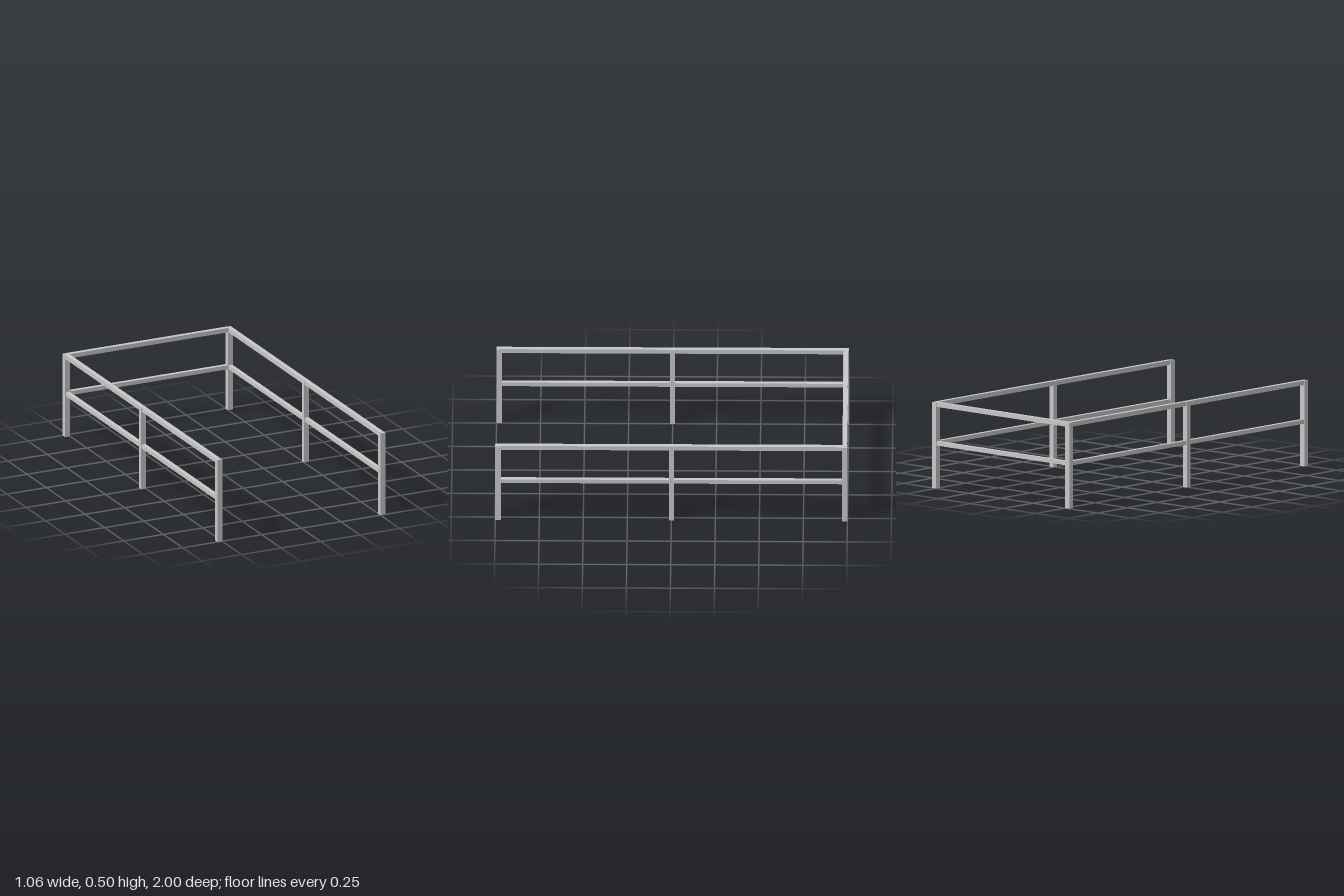
import * as THREE from 'three';

export function createModel() {
  const model = new THREE.Group();
  model.name = 'guardRail';
  const steel = new THREE.MeshStandardMaterial({ color: 0xc8c8c8 });
  steel.name = 'light grey steel';

  const bar = (name, w, h, d, x, y, z) => {
    const mesh = new THREE.Mesh(new THREE.BoxGeometry(w, h, d), steel);
    mesh.name = name;
    mesh.position.set(x, y, z);
    model.add(mesh);
  };

  const postX = 0.515, endZ = 0.984, post = 0.032, postTop = 0.493;
  const rails = [
    { name: 'topRail', y: 0.482, size: 0.026 },
    { name: 'middleRail', y: 0.258, size: 0.024 },
  ];

  // Both long sides: three posts joined by two rails
  for (const [side, x] of [['left', postX], ['right', -postX]]) {
    for (const z of [-endZ, 0, endZ])
      bar(side + 'Post', post, postTop, z === 0 ? 0.029 : post, x, postTop / 2, z);
    for (const r of rails) bar(side + '_' + r.name, r.size, r.size, 2 * endZ, x, r.y, 0);
  }

  // Closed back end
  for (const r of rails) bar('back_' + r.name, 2 * postX, r.size, r.size, 0, r.y, -endZ);

  return model;
}
